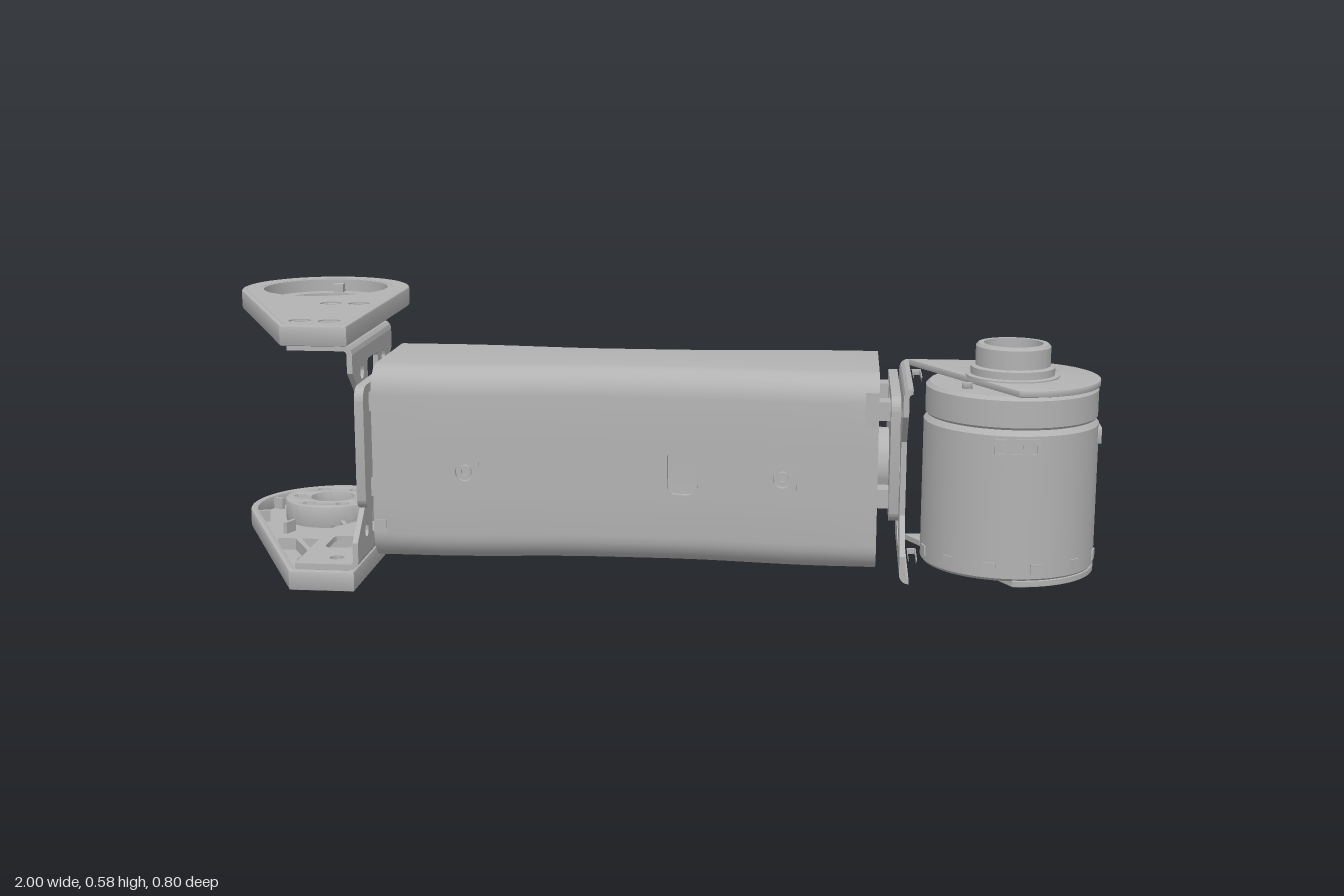
import * as THREE from 'three';
import { toCreasedNormals } from 'three/addons/utils/BufferGeometryUtils.js';

const ZC = 0.196; // depth centre of the arm body and motor
const metal = new THREE.MeshStandardMaterial({ color: 0xb2b2b2 });
metal.name = 'grey metal';

function add(parent, name, geo, x = 0, y = 0, z = 0) {
  const m = new THREE.Mesh(toCreasedNormals(geo, 0.5), metal);
  m.name = name;
  m.position.set(x, y, z);
  parent.add(m);
  return m;
}
const box = (w, h, d) => new THREE.BoxGeometry(w, h, d);
const lathe = (pts, n = 64) => new THREE.LatheGeometry(pts.map(p => new THREE.Vector2(...p)), n);
const ring = (ri, ro, y0, y1, n = 48) => lathe([[ri, y0], [ro, y0], [ro, y1], [ri, y1], [ri, y0]], n);
const circle = (x, y, r) => new THREE.Path().absarc(x, y, r, 0, Math.PI * 2, true);
const poly = pts => new THREE.Shape(pts.map(p => new THREE.Vector2(...p)));
function roundRect(T, x, y, w, h, r) {
  const s = new T(), a = w / 2 - r, b = h / 2 - r, q = Math.PI / 2;
  [[a, b], [-a, b], [-a, -b], [a, -b]].forEach(([u, v], i) => s.absarc(x + u, y + v, r, i * q, (i + 1) * q, false));
  s.closePath();
  return s;
}
function extrude(shape, depth, bevel = 0) {
  return new THREE.ExtrudeGeometry(shape, {
    depth: depth - 2 * bevel, curveSegments: 24, bevelEnabled: bevel > 0, bevelThickness: bevel,
    bevelSize: bevel, bevelOffset: -bevel, bevelSegments: 2,
  }).translate(0, 0, bevel);
}
// Horizontal slab: the shape is drawn in (x, -z) and rises from y0 to y1
const slab = (shape, y0, y1, bevel = 0) => extrude(shape, y1 - y0, bevel).rotateX(-Math.PI / 2).translate(0, y0, 0);

// Half depth of the waisted body along x
const halfDepth = x => 0.187 - 0.026 * (1 - THREE.MathUtils.smoothstep(Math.abs(x), 0.08, 0.42));

// Rounded cross-section of the body as [y, z] points, starting up the front
function section(x, t) {
  const h = halfDepth(x) - t, lo = 0.07 + t, hi = 0.495 - t, r = 0.06 - t, pts = [];
  const side = [0.13, 0.22, 0.24, 0.3, 0.33, 0.435], N = 6;
  const arc = (cy, cz, a0) => {
    for (let i = 1; i < N; i++) {
      const a = a0 + (i / N) * Math.PI / 2;
      pts.push([cy + r * Math.sin(a), cz + r * Math.cos(a)]);
    }
  };
  side.forEach(y => pts.push([y, h]));
  arc(0.435, h - r, 0);
  pts.push([hi, h - r], [hi, r - h]);
  arc(0.435, r - h, Math.PI / 2);
  side.slice().reverse().forEach(y => pts.push([y, -h]));
  arc(0.13, r - h, Math.PI);
  pts.push([lo, r - h], [lo, h - r]);
  arc(0.13, h - r, Math.PI * 1.5);
  return pts;
}

const holes = [
  { x: -0.355, w: 0.06, h: 0.06, r: 0.02, faces: [1, -1] },
  { x: 0.325, w: 0.06, h: 0.06, r: 0.02, faces: [1, -1] },
  { x: 0.11, w: 0.07, h: 0.11, slot: true, faces: [1] },
];

function bodyShell() {
  const xs = [-0.555, -0.42, -0.385, -0.325, -0.26, -0.2, -0.14, -0.08, 0, 0.075, 0.145, 0.2, 0.25, 0.295, 0.355, 0.42, 0.525];
  const rows = [...xs.map(x => [x, 0]), ...xs.slice().reverse().map(x => [x, 0.014])];
  const secs = rows.map(([x, t]) => section(x, t)), n = secs[0].length, pos = [], idx = [];
  secs.forEach((s, i) => s.forEach(([y, z]) => pos.push(rows[i][0], y, z)));
  for (let i = 0; i < rows.length; i++) for (let j = 0; j < n; j++) {
    const i2 = (i + 1) % rows.length, j2 = (j + 1) % n;
    const mx = (rows[i][0] + rows[i2][0]) / 2, my = (secs[i][j][0] + secs[i][j2][0]) / 2, z = secs[i][j][1];
    const open = i < xs.length - 1 && holes.some(o => o.faces.includes(Math.sign(z)) && Math.abs(mx - o.x) < 0.02
      && Math.abs(my - (o.slot ? 0.275 : 0.27)) < o.h / 2 && Math.abs(secs[i][j][0] - secs[i][j2][0]) > 0.015);
    if (open) continue;
    const a = i * n + j, b = i2 * n + j, c = i2 * n + j2, d = i * n + j2;
    idx.push(a, b, d, b, c, d);
  }
  const g = new THREE.BufferGeometry();
  g.setAttribute('position', new THREE.Float32BufferAttribute(pos, 3));
  g.setIndex(idx);
  return g;
}

function buildBody(root) {
  const body = new THREE.Group();
  body.name = 'armBody';
  body.position.z = ZC;
  root.add(body);
  add(body, 'bodyShell', bodyShell());
  // Pierced inserts for the screw holes and the slot
  for (const o of holes) for (const f of o.faces) {
    const s = roundRect(THREE.Shape, 0, 0, o.w, o.h, 0.001);
    s.holes.push(o.slot ? roundRect(THREE.Path, 0, 0, 0.062, 0.1, 0.02) : circle(0, 0, o.r));
    const slope = (halfDepth(o.x + 0.01) - halfDepth(o.x - 0.01)) / 0.02;
    const y = o.slot ? 0.275 : 0.27;
    const m = add(body, o.slot ? 'slotInsert' : 'screwHole', extrude(s, 0.012).translate(0, 0, -0.0115), o.x, y, f * halfDepth(o.x));
    m.rotation.y = f > 0 ? -slope : Math.PI + slope;
    if (!o.slot) add(body, 'screw', ring(0.008, 0.014, -0.005, 0.005, 20).rotateX(Math.PI / 2), o.x, y, f * (halfDepth(o.x) - 0.006));
  }
  // Recessed end caps and small corner tabs
  for (const x of [-0.545, 0.505]) {
    const cap = poly(section(x, 0.012).map(([y, z]) => [-z, y]));
    add(body, 'endCap', extrude(cap, 0.01).rotateY(Math.PI / 2), x);
  }
  add(body, 'cornerTab', box(0.028, 0.075, 0.01), 0.511, 0.422, 0.184);
  add(body, 'cornerTab', box(0.028, 0.03, 0.01), -0.541, 0.147, 0.184);
}

// Waisted upright plate with lightening holes, plus the two bent corners
function bracketWall(root, x, y0, y1, dir) {
  const w = 0.185, k = 0.105, b = y0 + 0.02, t = y1 - 0.02, mid = (y0 + y1) / 2;
  const s = poly([[-w, b], [w, b], [w, b + 0.04], [k, b + 0.11], [k, t - 0.11], [w, t - 0.04], [w, t],
    [-w, t], [-w, t - 0.04], [-k, t - 0.11], [-k, b + 0.11], [-w, b + 0.04]]);
  s.holes.push(circle(0, mid, 0.05));
  for (const u of [-1, 1]) for (const v of [b + 0.05, t - 0.05]) s.holes.push(circle(u * 0.1, v, 0.016));
  for (const v of [b + 0.055, t - 0.055]) s.holes.push(roundRect(THREE.Path, 0, v, 0.1, 0.05, 0.012));
  add(root, 'bracketWall', extrude(s, 0.012).rotateY(Math.PI / 2), x - 0.006, 0, ZC);
  for (const up of [1, -1]) {
    const q = Math.PI / 2, a = up > 0 ? (dir < 0 ? 0 : q) : (dir < 0 ? -q : 2 * q);
    const c = new THREE.Shape().absarc(0, 0, 0.02, a, a + q, false).absarc(0, 0, 0.008, a + q, a, true);
    add(root, 'bracketBend', extrude(c, 2 * w), x + dir * 0.014, up > 0 ? t : b, ZC - w);
  }
}

// Spacer plate and spool between a bracket and the body end
function coupling(root, x, bodyX) {
  const s = roundRect(THREE.Shape, 0, 0.315, 0.37, 0.27, 0.03);
  s.holes.push(roundRect(THREE.Path, 0, 0.4, 0.12, 0.05, 0.012));
  add(root, 'spacerPlate', extrude(s, 0.02).rotateY(Math.PI / 2), x - 0.01, 0, ZC);
  const len = Math.abs(bodyX - x);
  add(root, 'couplingSpool', ring(0.045, 0.078, -len / 2, len / 2).rotateZ(Math.PI / 2), (x + bodyX) / 2, 0.27, ZC);
  for (const u of [-1, 1]) for (const y of [0.22, 0.41])
    add(root, 'standoff', box(len, 0.04, 0.05), (x + bodyX) / 2, y, ZC + u * 0.11);
}

// Teardrop fork plate outline, inset by t
function teardrop(t) {
  const r = 0.2 - t, px = -0.745 + 0.6 * t, py = -0.397 + t;
  const a = Math.atan2(py - 0.2, px + 0.8) - Math.acos(r / Math.hypot(px + 0.8, py - 0.2)) + Math.PI * 2;
  const s = new THREE.Shape();
  s.moveTo(px, py);
  s.lineTo(-0.6 - t, py);
  s.absarc(-0.8, 0.2, r, 0, a, false);
  s.closePath();
  return s;
}

function forkPlate(root, top) {
  const g = new THREE.Group(), y0 = top ? 0.54 : 0, y1 = y0 + 0.045;
  g.name = top ? 'upperForkPlate' : 'lowerForkPlate';
  root.add(g);
  const rim = teardrop(0);
  rim.holes.push(teardrop(0.018));
  add(g, 'plateRim', slab(rim, y0, y1, 0.005));
  // Outer skin with screw holes and the joint opening
  const skin = teardrop(0.012), screws = [];
  for (const x of [-0.72, -0.655]) for (const z of [0.062, 0.325]) screws.push([x, z]);
  screws.forEach(([x, z]) => skin.holes.push(circle(x, -z, 0.024)));
  skin.holes.push(circle(-0.8, 0.2, top ? 0.158 : 0.1));
  add(g, 'plateSkin', top ? slab(skin, y1 - 0.013, y1 - 0.0005) : slab(skin, 0.0005, 0.013));
  screws.forEach(([x, z]) => add(g, 'screwBoss', ring(0.013, 0.026, y0 + 0.004, y1 - 0.004, 24), x, 0, z));
  // Ribs in the pocket on the inner side
  const ry = y0 + 0.0225;
  for (let i = 0; i < 8; i++) {
    const a = (i + 0.5) * Math.PI / 4;
    add(g, 'radialRib', box(0.035, 0.036, 0.01), -0.8 + 0.173 * Math.cos(a), ry, -0.2 + 0.173 * Math.sin(a)).rotation.y = -a;
  }
  add(g, 'crossRib', box(0.24, 0.036, 0.012), -0.73, ry, 0.11);
  add(g, 'crossRib', box(0.15, 0.036, 0.012), -0.685, ry, 0.27);
  add(g, 'diagonalRib', box(0.012, 0.036, 0.19), -0.76, ry, 0.19).rotation.y = 0.5;
  if (top) {
    add(g, 'jointCollar', ring(0.148, 0.16, 0.54, 0.584), -0.8, 0, -0.2);
    add(g, 'jointRing', lathe([[0.112, 0.502], [0.14, 0.502], [0.14, 0.54], [0.15, 0.54], [0.15, 0.555], [0.112, 0.555], [0.112, 0.502]]), -0.8, 0, -0.2);
    for (let i = 0; i < 3; i++) {
      const a = 0.5 + i * Math.PI * 2 / 3;
      add(g, 'ringTab', box(0.03, 0.022, 0.025), -0.8 + 0.138 * Math.cos(a), 0.564, -0.2 + 0.138 * Math.sin(a)).rotation.y = -a;
    }
  } else {
    const hub = new THREE.Shape().absarc(-0.8, 0.2, 0.115, 0, Math.PI * 2, false);
    hub.holes.push(circle(-0.8, 0.2, 0.052));
    for (let i = 0; i < 6; i++) {
      const a = i * Math.PI / 3;
      hub.holes.push(circle(-0.8 + 0.082 * Math.cos(a), 0.2 + 0.082 * Math.sin(a), 0.015));
    }
    add(g, 'jointHub', slab(hub, 0.001, 0.065, 0.003));
  }
  // Bracket flange lying against the plate
  const f = poly([[-0.613, -0.38], [-0.613, -0.011], [-0.69, -0.011], [-0.735, -0.08], [-0.735, -0.38]]);
  screws.forEach(([x, z]) => f.holes.push(circle(x, -z, 0.016)));
  f.holes.push(roundRect(THREE.Path, -0.675, -0.195, 0.06, 0.1, 0.015));
  add(g, 'bracketFlange', top ? slab(f, 0.528, 0.54) : slab(f, 0.045, 0.057));
}

function buildMotor(root) {
  const g = new THREE.Group(), cx = 0.812, r = 0.187;
  g.name = 'motorUnit';
  root.add(g);
  // Motor can, groove and upper band
  add(g, 'motorCan', lathe([[0, 0.075], [0.14, 0.075], [0.14, 0.06], [0.182, 0.06], [r, 0.066], [r, 0.373], [0.176, 0.385], [0, 0.385]], 80), cx, 0, ZC);
  add(g, 'motorBand', lathe([[0, 0.385], [0.18, 0.385], [0.184, 0.39], [0.184, 0.447], [0.176, 0.455], [0, 0.455]], 80), cx, 0, ZC);
  add(g, 'outputHub', lathe([[0.1, 0.466], [0.1, 0.472], [0.09, 0.474], [0.09, 0.49], [0.08, 0.493], [0.08, 0.534], [0.075, 0.54], [0.063, 0.54], [0.063, 0.48], [0, 0.48]]), cx, 0, ZC);
  // Rounded flanges above and below the motor
  for (const top of [true, false]) {
    const s = new THREE.Shape();
    s.moveTo(0.595, -ZC - 0.185);
    s.absarc(cx, -ZC, 0.187, -Math.PI / 2, Math.PI / 2, false);
    s.lineTo(0.595, -ZC + 0.185);
    s.closePath();
    s.holes.push(roundRect(THREE.Path, 0.608, -ZC, 0.016, 0.11, 0.004));
    if (top) for (const u of [-1, 1]) for (const v of [-1, 1]) s.holes.push(circle(cx + u * 0.102, -ZC + v * 0.102, 0.011));
    else s.holes.push(circle(cx, -ZC, 0.145));
    add(g, 'motorFlange', top ? slab(s, 0.455, 0.469, 0.002) : slab(s, 0.048, 0.062, 0.002));
  }
  // Spoked wheel in the bottom opening
  const wheel = new THREE.Shape().absarc(cx, -ZC, 0.135, 0, Math.PI * 2, false);
  wheel.holes.push(circle(cx, -ZC, 0.03));
  for (let i = 0; i < 5; i++) {
    const a = i * Math.PI * 0.4;
    wheel.holes.push(circle(cx + 0.085 * Math.cos(a), -ZC + 0.085 * Math.sin(a), 0.033));
  }
  add(g, 'bottomWheel', slab(wheel, 0.052, 0.076, 0.002));
  // Connector sockets facing front and outward
  for (const a of [0, Math.PI / 2]) {
    const port = new THREE.Group();
    port.name = 'connectorPort';
    port.position.set(cx, 0.349, ZC);
    port.rotation.y = a;
    g.add(port);
    const s = roundRect(THREE.Shape, 0, 0, 0.095, 0.036, 0.003);
    s.holes.push(roundRect(THREE.Path, -0.015, 0, 0.055, 0.026, 0.003), roundRect(THREE.Path, 0.032, 0, 0.017, 0.026, 0.003));
    add(port, 'portFrame', extrude(s, 0.014), 0, 0, r - 0.012);
    for (const x of [-0.028, -0.003]) add(port, 'portPin', box(0.01, 0.01, 0.012), x, 0, r - 0.006);
  }
  // Clips around the lower edge of the can
  for (let i = 0; i < 12; i++) {
    const a = (i + 0.5) * Math.PI / 6;
    add(g, 'lowerClip', box(0.025, 0.022, 0.006), cx + r * Math.sin(a), 0.088, ZC + r * Math.cos(a)).rotation.y = a;
  }
}

export function createModel() {
  const root = new THREE.Group();
  root.name = 'armLink';
  buildBody(root);
  forkPlate(root, true);
  forkPlate(root, false);
  bracketWall(root, -0.599, 0.045, 0.54, -1);
  bracketWall(root, 0.581, 0.048, 0.469, 1);
  coupling(root, -0.582, -0.54);
  coupling(root, 0.56, 0.51);
  buildMotor(root);
  return root;
}
